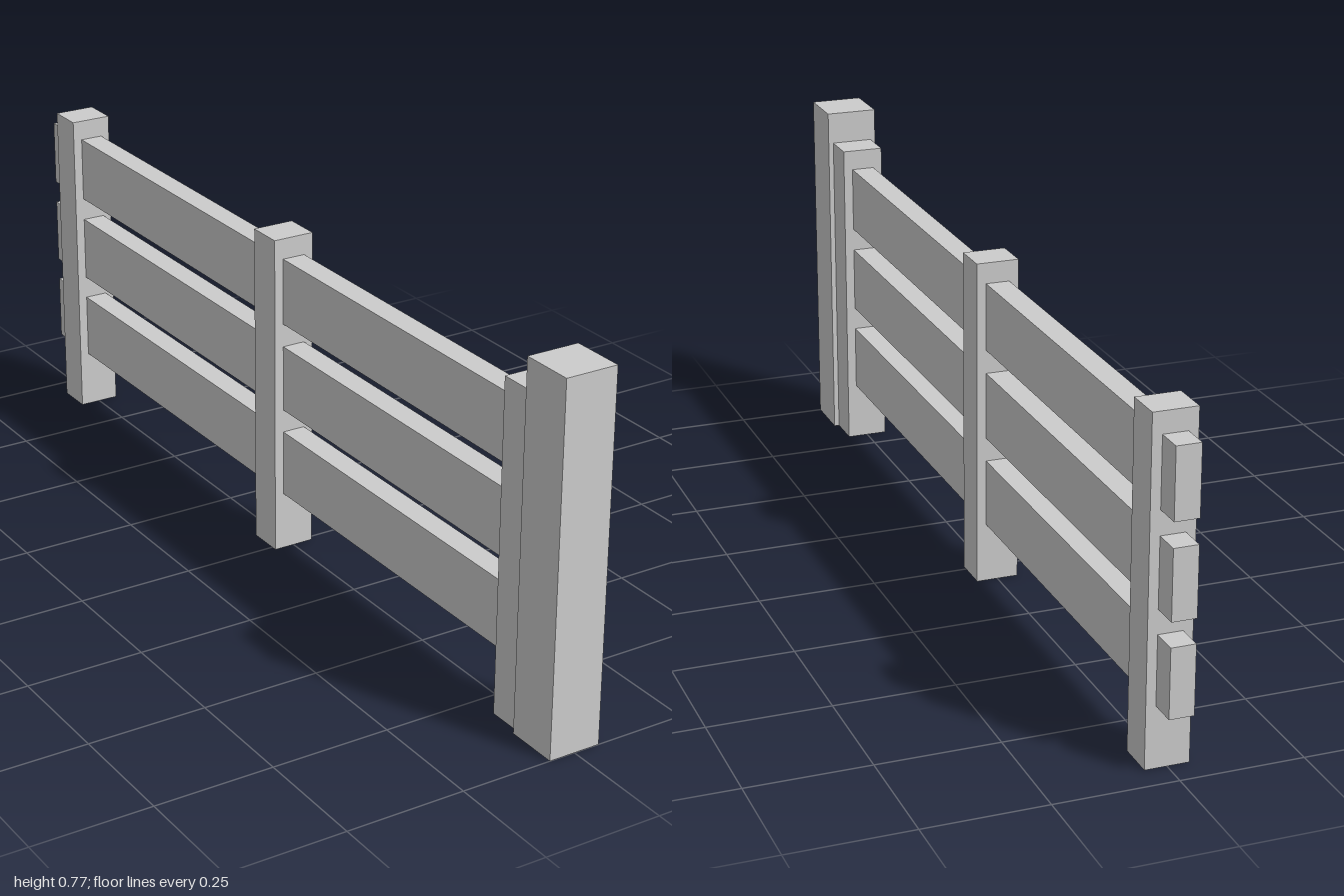
import * as THREE from 'three';

export function createModel() {
  const group = new THREE.Group();
  const material = new THREE.MeshStandardMaterial({ color: 0xcccccc, flatShading: true });

  // Box spanning y0..y1 and z0..z1, centred on x
  function addBeam(name, width, y0, y1, z0, z1) {
    const mesh = new THREE.Mesh(new THREE.BoxGeometry(width, y1 - y0, z1 - z0), material);
    mesh.name = name;
    mesh.position.set(0, (y0 + y1) / 2, (z0 + z1) / 2);
    group.add(mesh);
  }

  // Thick end post at the front
  addBeam('endPost', 0.112, 0, 0.77, 0.885, 1);

  // Three evenly spaced fence posts
  const postDepth = 0.08;
  [0.846, -0.027, -0.902].forEach((z, i) =>
    addBeam(`fencePost${i + 1}`, 0.09, 0, 0.7, z - postDepth / 2, z + postDepth / 2));

  // Three rails running through the posts and past the rear one
  [0.127, 0.32, 0.513].forEach((y, i) =>
    addBeam(`rail${i + 1}`, 0.05, y, y + 0.143, -1, 0.87));

  return group;
}
